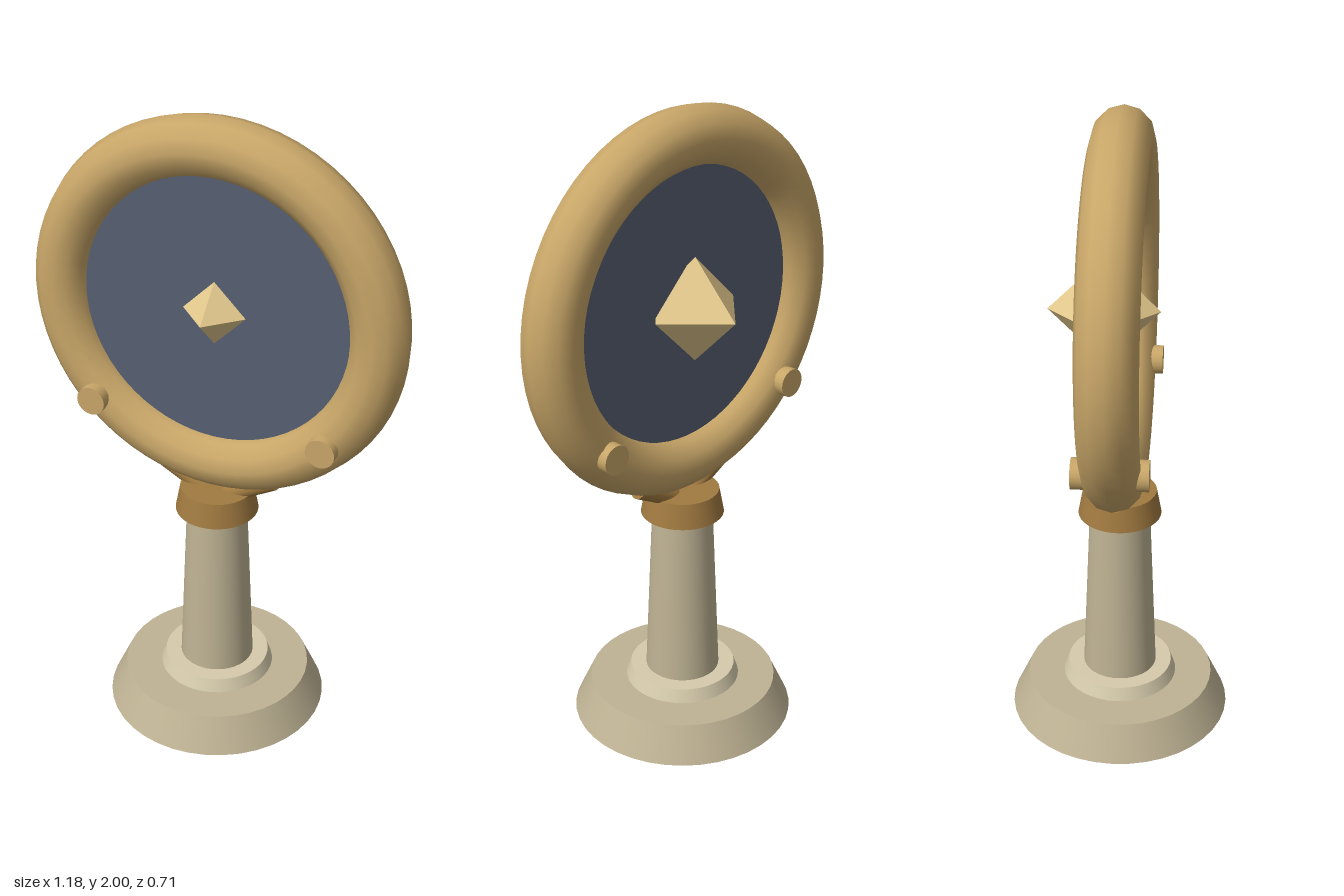
import * as THREE from 'three';

const material = (color, flatShading = false) => new THREE.MeshStandardMaterial({ color, flatShading });
const stone = material(0xbfb394);
const paleStone = material(0xd6cbac);
const gold = material(0xc8a668);
const bronze = material(0xa17a40);
const glass = material(0x566072);
const gem = material(0xe2c88c, true);

const RING_Y = 1.408;
const RING_R = 0.504;
const TUBE_R = 0.088;

export function createModel() {
  const model = new THREE.Group();
  model.name = 'standingMirror';

  const add = (name, geometry, mat, x = 0, y = 0, z = 0) => {
    const mesh = new THREE.Mesh(geometry, mat);
    mesh.name = name;
    mesh.position.set(x, y, z);
    model.add(mesh);
    return mesh;
  };
  // Round tapered section standing between two heights
  const taper = (name, mat, y0, y1, r0, r1) =>
    add(name, new THREE.CylinderGeometry(r1, r0, y1 - y0, 40), mat, 0, (y0 + y1) / 2, 0);

  // Pedestal
  taper('base', stone, 0, 0.115, 0.353, 0.3);
  taper('baseStep', paleStone, 0.115, 0.157, 0.183, 0.168);
  taper('pillar', stone, 0.157, 0.72, 0.118, 0.095);
  taper('collar', bronze, 0.72, 0.8, 0.13, 0.115);

  // Ring and the thin disc it holds
  add('ring', new THREE.TorusGeometry(RING_R, TUBE_R, 12, 64), gold, 0, RING_Y, 0);
  const disc = new THREE.CylinderGeometry(0.43, 0.43, 0.04, 64).rotateX(Math.PI / 2);
  add('disc', disc, glass, 0, RING_Y, 0);

  // Gems: a small one in front, a larger one behind
  add('frontGem', new THREE.OctahedronGeometry(0.1), gem, 0, RING_Y, 0.021);
  add('backGem', new THREE.OctahedronGeometry(0.162), gem, 0, RING_Y, -0.052);

  for (const side of [-1, 1]) {
    // Pins through the lower part of the ring
    const pin = new THREE.CylinderGeometry(0.046, 0.046, 0.224, 20).rotateX(Math.PI / 2);
    add('pin', pin, gold, side * 0.374, 1.07, 0);

    // Slanted struts from the collar to the ring
    const from = new THREE.Vector3(side * 0.03, 0.775, 0);
    const to = new THREE.Vector3(side * 0.19, 0.862, 0);
    const dir = to.clone().sub(from);
    const mid = from.add(to).multiplyScalar(0.5);
    const strut = add('strut', new THREE.CylinderGeometry(0.028, 0.028, dir.length(), 16), bronze, mid.x, mid.y, 0);
    strut.quaternion.setFromUnitVectors(new THREE.Vector3(0, 1, 0), dir.normalize());
  }

  return model;
}
